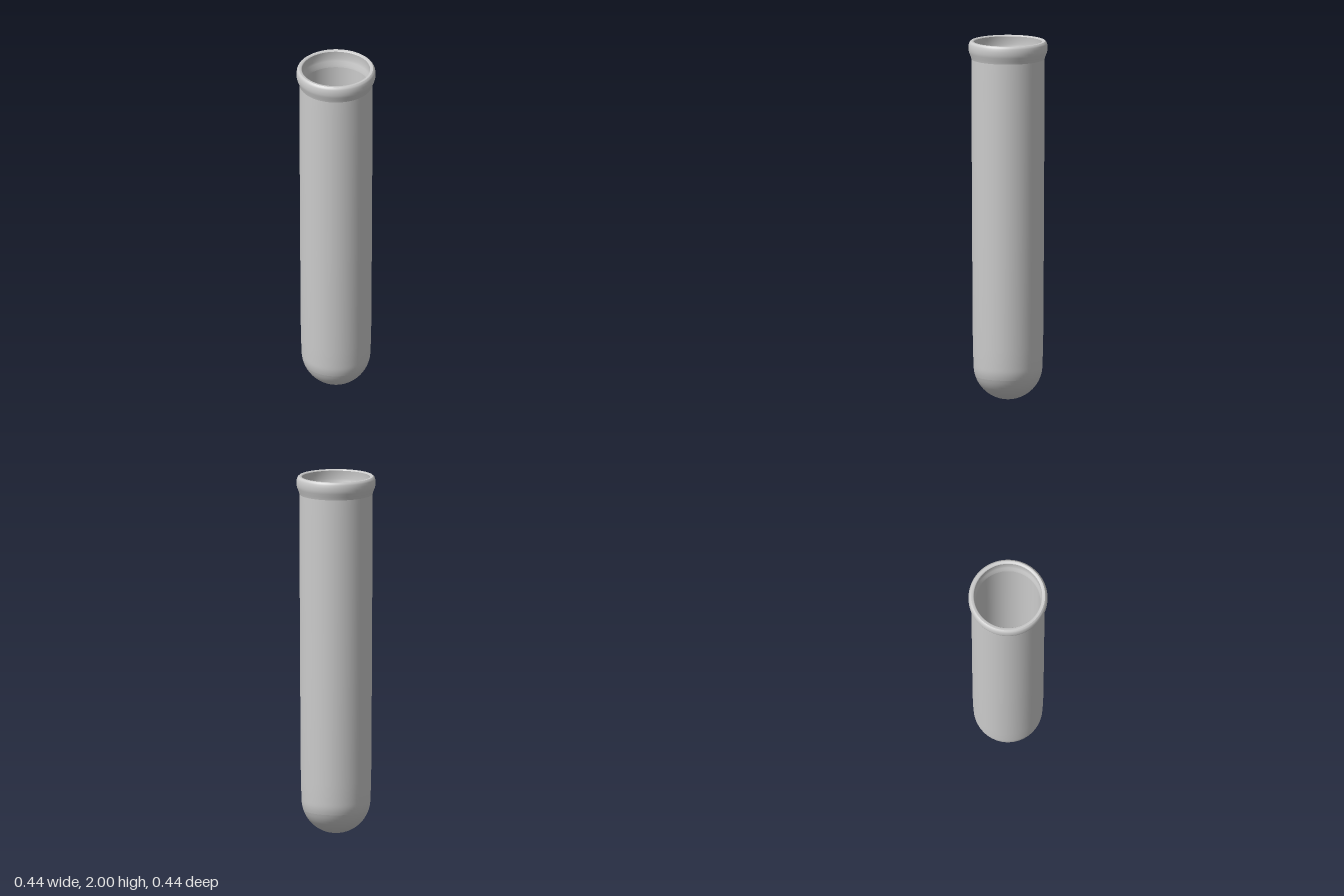
import * as THREE from 'three';

const SEGMENTS = 72;
const OUTER_R = 0.19;   // outer radius of the round bottom
const INNER_R = 0.165;  // inner radius of the round bottom
const CENTRE_Y = 0.19;  // centre of both bottom spheres
const SPLIT_Y = 0.13;   // floor level, where the bottom cap meets the wall

// Points along a sphere's profile between two heights
function arc(radius, y0, y1, steps) {
  const a0 = Math.asin((y0 - CENTRE_Y) / radius);
  const a1 = Math.asin((y1 - CENTRE_Y) / radius);
  return Array.from({ length: steps + 1 }, (_, i) => {
    const a = a0 + (a1 - a0) * i / steps;
    return [Math.max(0, radius * Math.cos(a)), CENTRE_Y + radius * Math.sin(a)];
  });
}

export function createModel() {
  const group = new THREE.Group();
  group.name = 'testTube';
  const material = new THREE.MeshStandardMaterial({ color: 0xcccccc, side: THREE.DoubleSide });

  // Each smooth section is its own lathe, so the edges between them stay crisp
  function addLathe(name, profile) {
    const points = profile.map(([r, y]) => new THREE.Vector2(r, y));
    const mesh = new THREE.Mesh(new THREE.LatheGeometry(points, SEGMENTS), material);
    mesh.name = name;
    group.add(mesh);
  }

  // Rounded closed bottom
  addLathe('bottomCap', arc(OUTER_R, 0, SPLIT_Y, 14));

  // Slightly tapered outer wall
  addLathe('outerWall', [
    ...arc(OUTER_R, SPLIT_Y, CENTRE_Y, 5),
    [0.194, 0.3], [0.198, 0.9], [0.202, 1.8], [0.202, 1.9],
  ]);

  // Rolled lip around the mouth
  addLathe('lip', [
    [0.202, 1.9], [0.206, 1.915], [0.214, 1.935], [0.218, 1.952],
    [0.218, 1.97], [0.216, 1.985], [0.212, 1.994], [0.205, 2],
  ]);
  addLathe('rimTop', [[0.205, 2], [0.192, 2], [0.188, 1.994]]);

  // Inside of the lip, stepping in to the bore
  addLathe('innerLip', [
    [0.188, 1.994], [0.19, 1.975], [0.19, 1.95], [0.187, 1.935], [0.181, 1.915], [0.179, 1.9],
  ]);

  // Bore, curving in to a flat floor
  addLathe('innerWall', [
    [0.179, 1.9], [0.175, 1.1], [0.168, 0.3],
    ...arc(INNER_R, CENTRE_Y, SPLIT_Y, 5),
  ]);
  const floorR = Math.sqrt(INNER_R ** 2 - (CENTRE_Y - SPLIT_Y) ** 2);
  addLathe('floor', [[floorR, SPLIT_Y], [0, SPLIT_Y]]);

  return group;
}
